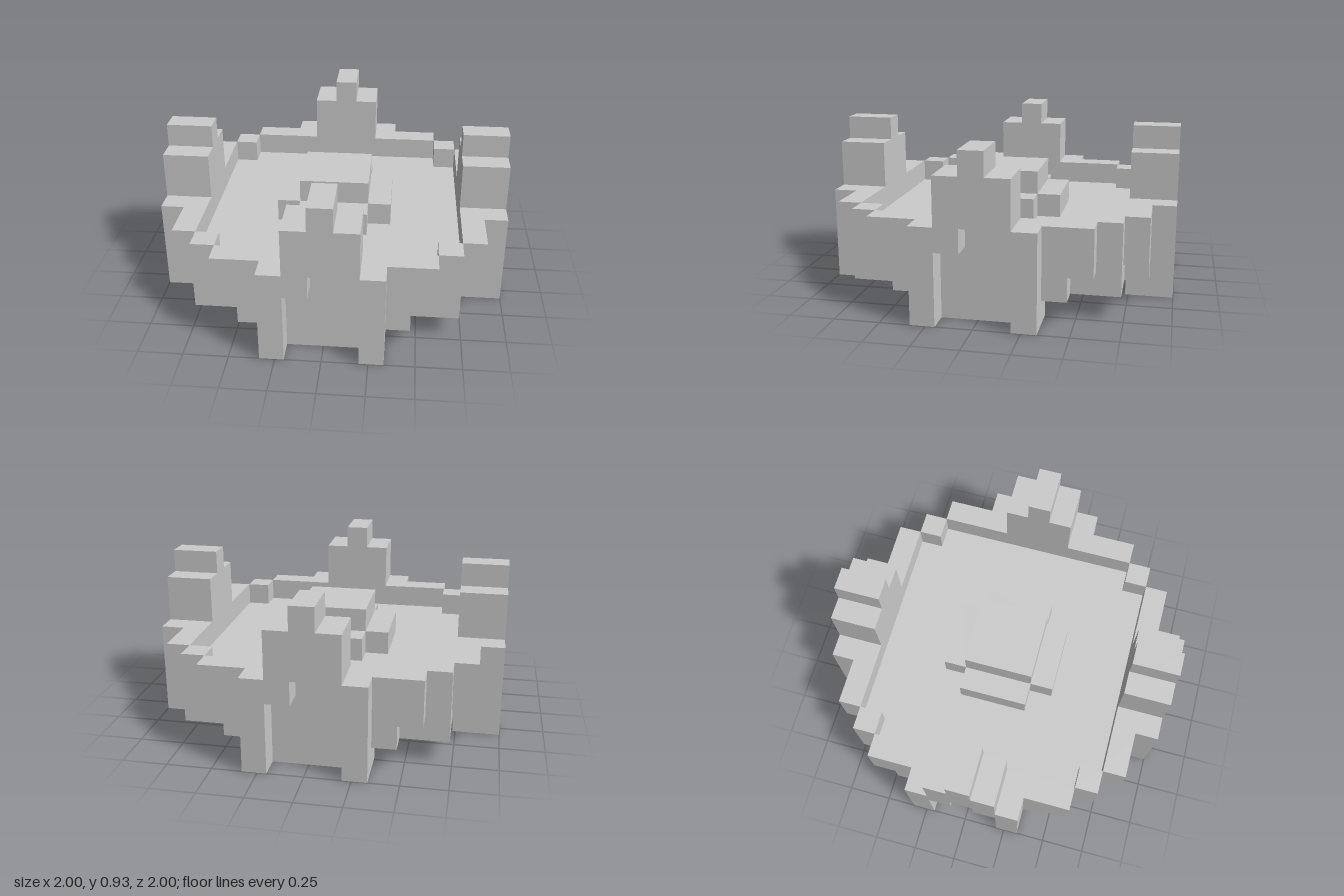
import * as THREE from 'three';

const U = 2 / 15; // one block
const material = new THREE.MeshStandardMaterial({ color: 0xcccccc, flatShading: true });

function box(name, x0, x1, y0, y1, z0, z1) {
  const geometry = new THREE.BoxGeometry((x1 - x0) * U, (y1 - y0) * U, (z1 - z0) * U);
  geometry.translate((x0 + x1) / 2 * U, (y0 + y1) / 2 * U, (z0 + z1) / 2 * U);
  const mesh = new THREE.Mesh(geometry, material);
  mesh.name = name;
  return mesh;
}

// Extrude a mirrored stepped outline, given in blocks, from z0 to z1
function slab(name, points, z0, z1) {
  const shape = new THREE.Shape(points.map(([x, y]) => new THREE.Vector2(x * U, y * U)));
  const geometry = new THREE.ExtrudeGeometry(shape, { depth: (z1 - z0) * U, bevelEnabled: false });
  geometry.translate(0, 0, z0 * U);
  const mesh = new THREE.Mesh(geometry, material);
  mesh.name = name;
  return mesh;
}

// One side of the fort: gate tower, stepped walls and a corner post
function createSide() {
  const side = new THREE.Group();
  const right = [[2.5, 0], [2.5, 4], [1.5, 4], [1.5, 6], [0.5, 6], [0.5, 7]];
  const mirror = (pts) => pts.map(([x, y]) => [-x, y]).reverse();
  const outline = [...right, ...mirror(right)];
  const doorway = [[-1.5, 0], [-1.5, 3], [-0.5, 3], [-0.5, 4]];
  side.add(slab('towerBack', outline, 5.5, 6.5));
  // front layer with the arched doorway recess cut out
  side.add(slab('towerFront', [...outline, ...doorway, ...mirror(doorway)], 6.5, 7.5));

  // walls beside the tower, notched underneath at the outer end
  const wall = [[2.5, 1], [3.5, 1], [3.5, 2], [4.5, 2], [4.5, 4], [2.5, 4]];
  side.add(slab('wallLeft', wall, 5.5, 6.5));
  side.add(slab('wallRight', mirror(wall), 5.5, 6.5));

  side.add(box('cornerPost', 4.5, 5.5, 3, 4, 4.5, 5.5));
  return side;
}

export function createModel() {
  const model = new THREE.Group();
  model.name = 'fort';

  // Courtyard floor
  model.add(box('floor', -5.5, 5.5, 1, 3, -5.5, 5.5));

  // Central stepped platform
  const platform = new THREE.Group();
  platform.name = 'platform';
  platform.add(box('platformCentre', -1.5, 1.5, 3, 5, -1.5, 1.5));
  for (const s of [-1, 1]) {
    const a = Math.min(s * 1.5, s * 2.5);
    platform.add(box('platformStepX', a, a + 1, 3, 4, -1.5, 1.5));
    platform.add(box('platformStepZ', -1.5, 1.5, 3, 4, a, a + 1));
  }
  model.add(platform);

  // Four identical sides
  ['front', 'left', 'back', 'right'].forEach((name, i) => {
    const side = createSide();
    side.name = name + 'Side';
    side.rotation.y = i * Math.PI / 2;
    model.add(side);
  });
  return model;
}
